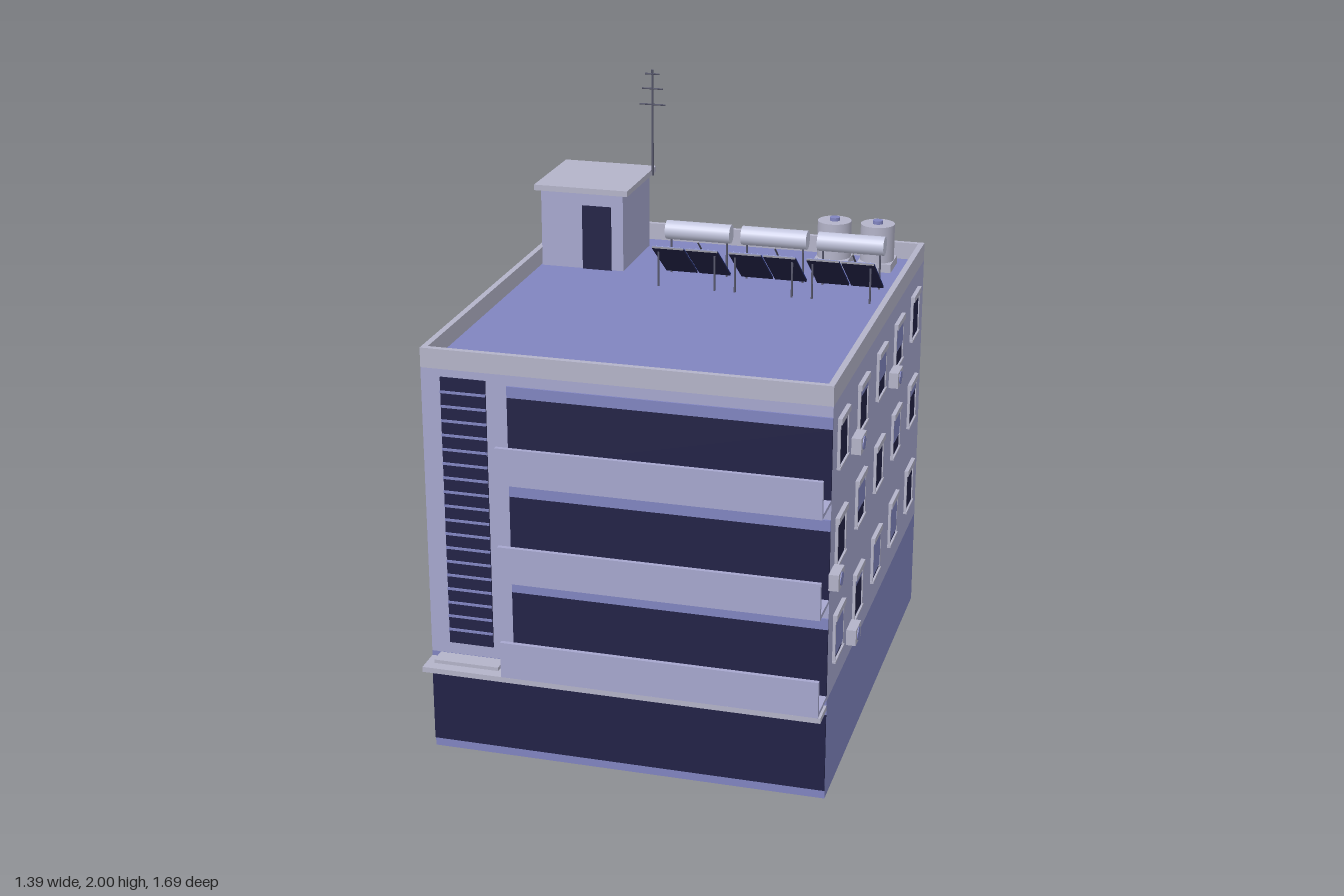
import * as THREE from 'three';

const mat = (name, color) => Object.assign(new THREE.MeshStandardMaterial({ color }), { name });

export function createModel() {
  const wall = mat('wall lilac', 0xa6a7ce), base = mat('base blue', 0x8084bf), trim = mat('trim grey', 0xb3b3c8);
  const dark = mat('dark glass', 0x222246), panel = mat('collector blue', 0x2c3f92), pale = mat('pale tank', 0xc3c6de);
  const metal = mat('mast metal', 0x55566a), tube = mat('collector tube', 0x6f7fc4);
  const model = new THREE.Group();
  model.name = 'apartmentBlock';

  const add = (parent, name, geo, m, x, y, z) => {
    const mesh = new THREE.Mesh(geo, m);
    mesh.name = name;
    mesh.position.set(x, y, z);
    parent.add(mesh);
    return mesh;
  };
  // Box given by its min and max on each axis
  const box = (parent, name, m, x0, x1, y0, y1, z0, z1) =>
    add(parent, name, new THREE.BoxGeometry(x1 - x0, y1 - y0, z1 - z0), m, (x0 + x1) / 2, (y0 + y1) / 2, (z0 + z1) / 2);
  const cyl = (parent, name, m, r, h, x, y, z, n = 24) =>
    add(parent, name, new THREE.CylinderGeometry(r, r, h, n), m, x, y, z);
  const group = (name, x = 0, y = 0, z = 0, ry = 0) => {
    const g = new THREE.Group();
    g.name = name;
    g.position.set(x, y, z);
    g.rotation.y = ry;
    model.add(g);
    return g;
  };

  // Main block and roof
  const X = 0.66, B = -0.83, F = 0.715, deck = 1.34, top = 1.4, t = 0.02;
  box(model, 'groundFloor', base, -X, X, 0, 0.35, B, F);
  box(model, 'upperFloors', wall, -X, X, 0.35, deck - 0.005, B, F);
  box(model, 'roofDeck', base, -X + t, X - t, deck - 0.005, deck, B + t, F - t);
  for (const s of [-1, 1]) {
    const a = s * X, b = s * (X - t);
    box(model, 'sideParapet', trim, Math.min(a, b), Math.max(a, b), deck - 0.005, top, B, F);
  }
  box(model, 'frontParapet', trim, -X + t, X - t, deck - 0.005, top, F - t, F);
  box(model, 'backParapet', trim, -X + t, X - t, deck - 0.005, top, B, B + t);

  // Shop front and canopy
  box(model, 'shopWindow', dark, -X, X, 0.03, 0.3, F, F + 0.005);
  box(model, 'canopy', trim, -X, X, 0.315, 0.333, F, 0.805);
  box(model, 'stairLedge', trim, -0.63, -0.41, 0.337, 0.349, F, 0.775);

  // Tall louvred stair window
  box(model, 'stairWindow', dark, -0.595, -0.445, 0.39, 1.31, F, F + 0.004);
  for (let i = 1; i < 19; i++) {
    const y = 0.39 + (i * 0.92) / 19;
    box(model, 'stairLouvre', base, -0.595, -0.445, y - 0.004, y + 0.004, F, F + 0.008);
  }

  // Balconies with ribbon windows
  for (const y of [0.355, 0.687, 1.02]) {
    box(model, 'ribbonWindow', dark, -0.375, X, y + 0.013, y + 0.243, F, F + 0.005);
    box(model, 'ribbonBlind', base, -0.375, X, y + 0.243, y + 0.28, F, F + 0.006);
    box(model, 'balconyFloor', wall, -0.375, X, y, y + 0.013, F, 0.83);
    box(model, 'balconyRail', wall, -0.375, X, y, y + 0.122, 0.83, 0.845);
  }

  // Window with roller blind; shut is the closed share of the pane
  const makeWindow = (x, y, z, ry, shut) => {
    const g = group('window', x, y, z, ry), w = 0.062, h = 0.14;
    box(g, 'pane', dark, -w, w, 0, h, 0, 0.005);
    if (shut) box(g, 'blind', base, -w, w, h * (1 - shut), h, 0, 0.008);
    box(g, 'blindBox', trim, -w - 0.007, w + 0.007, h, h + 0.02, 0, 0.014);
    box(g, 'sill', trim, -w - 0.007, w + 0.007, -0.007, 0, 0, 0.012);
    for (const s of [-1, 1]) box(g, 'jamb', trim, s * w - 0.004, s * w + 0.004, 0, h, 0, 0.009);
  };
  const rows = [1.112, 0.785, 0.455];
  const sideZ = [0.58, 0.272, -0.033, -0.342, -0.652], backX = [0.403, 0.105, -0.19, -0.488];
  const rightShut = [[0, 0.18, 0.6, 0.6, 0], [0, 0.65, 0, 0.65, 0.24], [0.9, 0.18, 0.9, 0.9, 0]];
  const leftShut = [[0, 0.2, 0.2, 0, 0.2], [0.9, 0, 0.2, 0.9, 0.2], [0.2, 0.6, 0.2, 0.2, 0]];
  const backShut = [[0.6, 0.6, 0.6, 0.6], [0.4, 0.6, 0.6, 0.4], [0.4, 0.6, 0.4, 0.6]];
  rows.forEach((y, r) => {
    sideZ.forEach((z, i) => {
      makeWindow(X, y, z, Math.PI / 2, rightShut[r][i]);
      makeWindow(-X, y, z, -Math.PI / 2, leftShut[r][i]);
    });
    backX.forEach((x, i) => makeWindow(x, y, B, Math.PI, backShut[r][i]));
  });

  // Air conditioners: side, height, depth
  const units = [[1, 1.098, 0.385], [1, 1.098, -0.24], [1, 0.765, 0.69], [1, 0.433, 0.385], [-1, 1.098, 0.068], [-1, 0.433, -0.24]];
  for (const [s, y, z] of units) {
    const g = group('airConditioner', s * X, y, z, (s * Math.PI) / 2);
    box(g, 'casing', trim, -0.042, 0.042, -0.027, 0.027, 0, 0.032);
    cyl(g, 'fan', base, 0.022, 0.004, 0, 0, 0.033).rotation.x = Math.PI / 2;
  }

  // Stair house and mast
  box(model, 'stairHouse', wall, -0.635, -0.335, deck, 1.615, -0.73, -0.4);
  box(model, 'stairHouseRoof', trim, -0.657, -0.315, 1.615, 1.635, -0.75, -0.388);
  box(model, 'stairHouseDoor', dark, -0.483, -0.378, deck, 1.57, -0.4, -0.394);
  cyl(model, 'mast', metal, 0.004, 0.385, -0.31, 1.8075, -0.69, 8);
  for (const [y, w] of [[1.875, 0.048], [1.932, 0.038], [1.985, 0.026]])
    cyl(model, 'mastArm', metal, 0.003, 2 * w, -0.31, y, -0.69, 6).rotation.z = Math.PI / 2;

  // Water tanks
  for (const x of [0.36, 0.515]) {
    box(model, 'tankBase', trim, x - 0.061, x + 0.061, deck, deck + 0.03, -0.751, -0.629);
    cyl(model, 'waterTank', trim, 0.06, 0.13, x, 1.435, -0.69, 32);
    cyl(model, 'tankLid', base, 0.018, 0.012, x, 1.506, -0.69, 16);
  }

  // Solar water heaters: tilted collectors below a horizontal tank
  for (const x of [-0.069, 0.203, 0.473]) {
    const g = group('solarHeater', x, 0, 0);
    cyl(g, 'heaterTank', pale, 0.033, 0.232, 0, 1.495, -0.438, 24).rotation.z = Math.PI / 2;
    for (const s of [-1, 1]) {
      box(g, 'tankLeg', metal, s * 0.1 - 0.003, s * 0.1 + 0.003, deck, 1.47, -0.441, -0.435);
      box(g, 'frontLeg', metal, s * 0.1 - 0.003, s * 0.1 + 0.003, deck, 1.47, -0.274, -0.268);
      const c = new THREE.Group();
      c.name = 'collector';
      c.position.set(s * 0.06, 1.42, -0.34);
      c.rotation.x = -Math.atan(0.73);
      g.add(c);
      box(c, 'collectorBack', dark, -0.056, 0.056, -0.006, 0, -0.115, 0.115);
      box(c, 'collectorFace', panel, -0.056, 0.056, 0, 0.003, -0.115, 0.115);
      for (let i = -2; i <= 2; i++) box(c, 'collectorTube', tube, i * 0.021 - 0.002, i * 0.021 + 0.002, 0.003, 0.006, -0.11, 0.11);
    }
    const pipe = cyl(g, 'pipe', metal, 0.003, 0.13, 0.03, 1.455, -0.36, 6);
    pipe.rotation.x = Math.atan2(0.1, 0.08);
  }
  return model;
}
